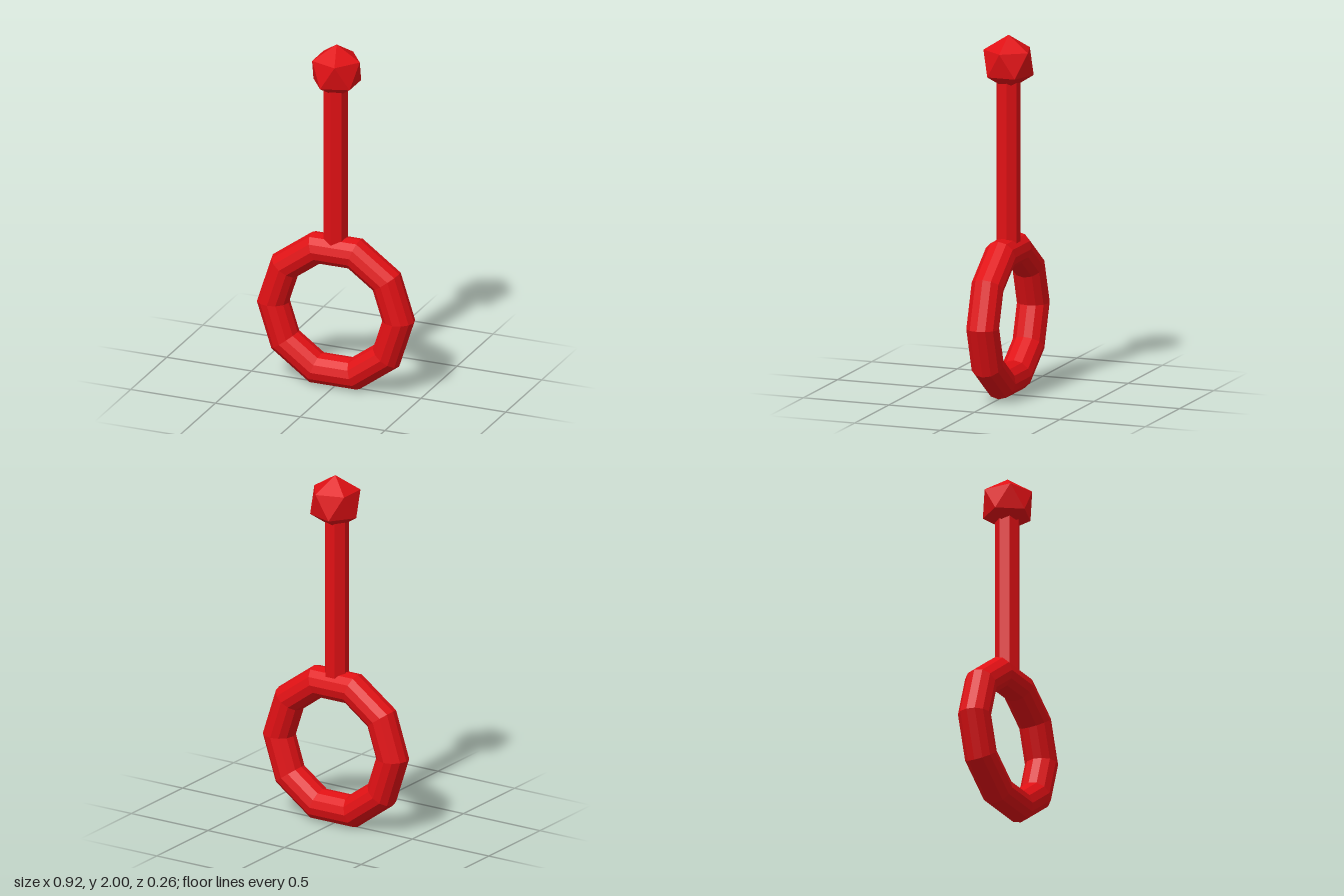
import * as THREE from 'three';

export function createModel() {
  const group = new THREE.Group();
  const red = new THREE.MeshStandardMaterial({ color: 0xe01014, flatShading: true });

  const add = (name, geometry, x, y, z) => {
    const mesh = new THREE.Mesh(geometry, red);
    mesh.name = name;
    mesh.position.set(x, y, z);
    group.add(mesh);
  };

  // Ten-sided ring handle
  add('ringHandle', new THREE.TorusGeometry(0.37, 0.09, 12, 10), 0, 0.44, 0.003);

  // Seven-sided rod, sunk into the ring and the knob
  const bottom = 0.8, top = 1.8;
  add('rod', new THREE.CylinderGeometry(0.068, 0.068, top - bottom, 7), -0.003, (bottom + top) / 2, 0.003);

  // Knob, turned to stand on one corner
  const knob = new THREE.IcosahedronGeometry(0.153, 0);
  knob.rotateZ(-Math.atan2(1, (1 + Math.sqrt(5)) / 2));
  add('knob', knob, 0.002, 1.847, -0.001);

  return group;
}
